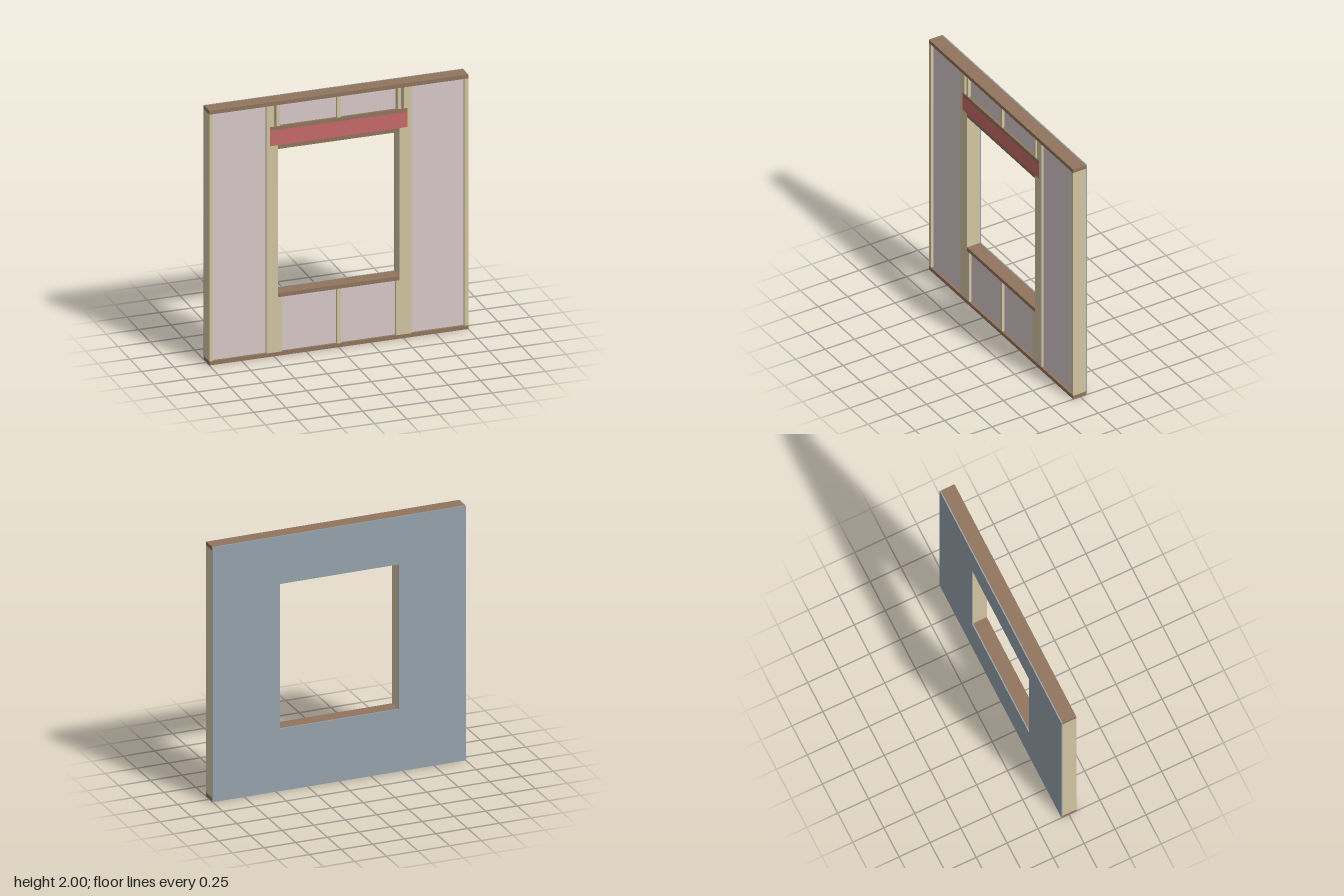
import * as THREE from 'three';

const material = (color) => new THREE.MeshStandardMaterial({ color });

export function createModel() {
  const wall = new THREE.Group();
  wall.name = 'framedWall';

  const stud = material(0xd5c6a3);
  const plate = material(0x91755d);
  const beam = material(0xc86a6b);
  const batt = material(0xd9caca);
  const board = material(0x97a3ae);

  const FRONT = 0.06, BACK = -0.051, SKIN = -0.06, RECESS = 0.04;

  // Box given by its left, right, bottom and top edges
  function member(name, x0, x1, y0, y1, mat, zFront = FRONT) {
    const geo = new THREE.BoxGeometry(x1 - x0, y1 - y0, zFront - BACK);
    const mesh = new THREE.Mesh(geo, mat);
    mesh.position.set((x0 + x1) / 2, (y0 + y1) / 2, (zFront + BACK) / 2);
    mesh.name = name;
    wall.add(mesh);
  }

  // Same member on both sides of the centre line
  function pair(name, x0, x1, y0, y1, mat, zFront) {
    member(name + 'Left', x0, x1, y0, y1, mat, zFront);
    member(name + 'Right', -x1, -x0, y0, y1, mat, zFront);
  }

  // Horizontal plates
  member('bottomPlate', -1, 1, 0, 0.03, plate);
  member('topPlate', -1, 1, 1.97, 2, plate);

  // Full-height and opening studs
  pair('endStud', 0.97, 1, 0.03, 1.97, stud);
  pair('kingStud', 0.53, 0.56, 0.03, 1.97, stud);
  pair('outerJackStud', 0.5, 0.53, 0.03, 1.655, stud);
  pair('innerJackStud', 0.47, 0.5, 0.03, 1.655, stud);

  // Header assembly over the opening
  member('header', -0.53, 0.53, 1.655, 1.775, beam);
  member('headerTopPlate', -0.53, 0.53, 1.775, 1.805, plate);
  member('headerBottomPlate', -0.47, 0.47, 1.625, 1.655, plate);

  // Sill and the short studs below it
  member('sill', -0.47, 0.47, 0.46, 0.49, plate);
  pair('lowerEndCripple', 0.44, 0.47, 0.03, 0.46, stud);
  member('lowerMiddleCripple', -0.015, 0.015, 0.03, 0.46, stud);

  // Short studs above the header
  pair('upperOuterCripple', 0.502, 0.53, 1.805, 1.97, stud);
  pair('upperInnerCripple', 0.455, 0.48, 1.805, 1.97, stud);
  member('upperMiddleCripple', -0.015, 0.015, 1.805, 1.97, stud);

  // Insulation set back in the cavities
  pair('sideInsulation', 0.56, 0.97, 0.03, 1.97, batt, RECESS);
  pair('lowerInsulation', 0.015, 0.44, 0.03, 0.46, batt, RECESS);
  pair('upperInsulation', 0.015, 0.446, 1.805, 1.97, batt, RECESS);

  // Back sheathing with the window opening cut out
  const rectangle = (path, x, y0, y1) =>
    path.moveTo(-x, y0).lineTo(x, y0).lineTo(x, y1).lineTo(-x, y1).closePath();
  const outline = rectangle(new THREE.Shape(), 1, 0, 2);
  outline.holes.push(rectangle(new THREE.Path(), 0.47, 0.49, 1.625));
  const sheathing = new THREE.Mesh(
    new THREE.ExtrudeGeometry(outline, { depth: BACK - SKIN, bevelEnabled: false }),
    board
  );
  sheathing.position.z = SKIN;
  sheathing.name = 'sheathing';
  wall.add(sheathing);

  return wall;
}
